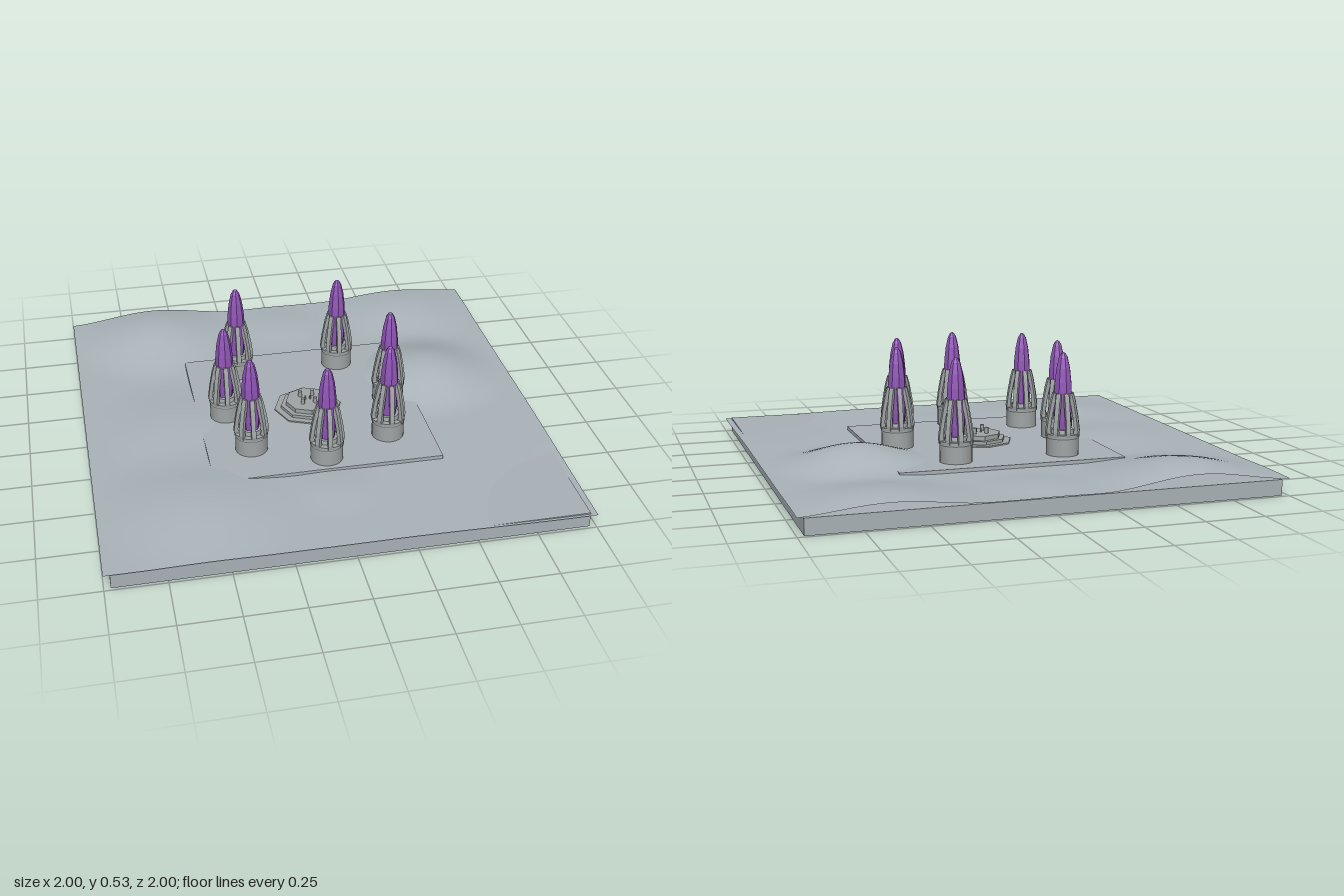
import * as THREE from 'three';

const material = (name, color, extra = {}) =>
  Object.assign(new THREE.MeshStandardMaterial({ color, ...extra }), { name });

// Flat facets for the low-poly parts
function faceted(geometry) {
  const g = geometry.index ? geometry.toNonIndexed() : geometry;
  g.computeVertexNormals();
  return g;
}

// Hills as [x, z, radius, height]
const hills = [
  [-0.6, -0.82, 0.46, 0.068], [0.6, -0.2, 0.4, 0.08], [0.65, -0.85, 0.42, 0.042],
  [-0.58, 0.63, 0.46, 0.036], [-0.58, 0.02, 0.42, 0.022], [0, -0.8, 0.26, 0.014],
  [0, 0.62, 0.22, 0.01], [1, 1, 0.85, -0.011],
];

function groundHeight(x, z) {
  let y = 0.072;
  for (const [hx, hz, radius, height] of hills) {
    const d = Math.hypot(x - hx, z - hz) / radius;
    if (d < 1) y += height * (0.5 + 0.5 * Math.cos(Math.PI * d));
  }
  return y;
}

export function createModel() {
  const ground = material('ground grey', 0xaab4b9, { side: THREE.DoubleSide });
  const slab = material('slab grey', 0xa9b2b7);
  const metal = material('metal grey', 0xa0a5a6);
  const purple = material('shell purple', 0x9156b8);
  const model = new THREE.Group();

  const add = (parent, name, geometry, mat, x = 0, y = 0, z = 0) => {
    const mesh = new THREE.Mesh(geometry, mat);
    mesh.name = name;
    mesh.position.set(x, y, z);
    parent.add(mesh);
    return mesh;
  };

  // Base slab and rolling ground
  add(model, 'baseSlab', new THREE.BoxGeometry(1.945, 0.067, 1.975), slab, 0, 0.0335, 0);
  const terrain = new THREE.PlaneGeometry(2, 2, 64, 64).rotateX(-Math.PI / 2);
  const p = terrain.attributes.position;
  for (let i = 0; i < p.count; i++) p.setY(i, groundHeight(p.getX(i), p.getZ(i)));
  terrain.computeVertexNormals();
  add(model, 'terrain', terrain, ground);

  // Square platform
  add(model, 'platform', new THREE.BoxGeometry(0.99, 0.06, 1), slab, -0.003, 0.058, 0);

  // Stepped octagonal hub with short pins
  const hub = new THREE.Group();
  hub.name = 'hub';
  model.add(hub);
  [[0.152, 0.094], [0.122, 0.108], [0.1, 0.128]].forEach(([r, top]) =>
    add(hub, 'hubStep', faceted(new THREE.CylinderGeometry(r, r, top - 0.07, 8)), metal, 0, (top + 0.07) / 2, 0));
  for (const x of [-0.028, 0.028]) {
    for (const z of [-0.032, 0.032])
      add(hub, 'hubPin', new THREE.CylinderGeometry(0.009, 0.009, 0.03, 8), metal, x, 0.14, z);
    add(hub, 'hubSmallPin', new THREE.CylinderGeometry(0.004, 0.004, 0.02, 6), metal, x * 0.4, 0.135, 0);
  }

  // Shared rocket geometries
  const points = (list) => list.map(([x, y]) => new THREE.Vector2(x, y));
  const socket = new THREE.LatheGeometry(points([
    [0.07, 0.08], [0.07, 0.16], [0.07, 0.16], [0.073, 0.165], [0.073, 0.165],
    [0.073, 0.18], [0.073, 0.18], [0, 0.18],
  ]), 20);
  const shell = faceted(new THREE.LatheGeometry(points([
    [0.032, 0.175], [0.039, 0.24], [0.041, 0.33], [0.038, 0.4],
    [0.031, 0.46], [0.02, 0.507], [0.009, 0.525], [0, 0.53],
  ]), 8));
  const claw = new THREE.ExtrudeGeometry(new THREE.Shape(points([
    [0.052, 0.17], [0.073, 0.17], [0.076, 0.19], [0.068, 0.25], [0.055, 0.32],
    [0.045, 0.355], [0.036, 0.355], [0.038, 0.32], [0.052, 0.25], [0.058, 0.2],
  ])), { depth: 0.02, bevelEnabled: false }).translate(0, 0, -0.01);
  const collar = new THREE.CylinderGeometry(0.046, 0.05, 0.02, 16, 1);

  // Ring of rockets, each held by eight claws
  const spots = [
    [-0.265, -0.36], [0.212, -0.36], [-0.373, -0.005], [0.375, -0.005],
    [-0.304, 0.28], [0.3, 0.285], [0, 0.41],
  ];
  for (const [x, z] of spots) {
    const rocket = new THREE.Group();
    rocket.name = 'rocket';
    rocket.position.set(x, 0, z);
    model.add(rocket);
    add(rocket, 'socket', socket, metal);
    add(rocket, 'collar', collar, metal, 0, 0.188, 0);
    add(rocket, 'shell', shell, purple);
    for (let i = 0; i < 8; i++)
      add(rocket, 'claw', claw, metal).rotation.y = (i * Math.PI) / 4;
  }
  return model;
}
